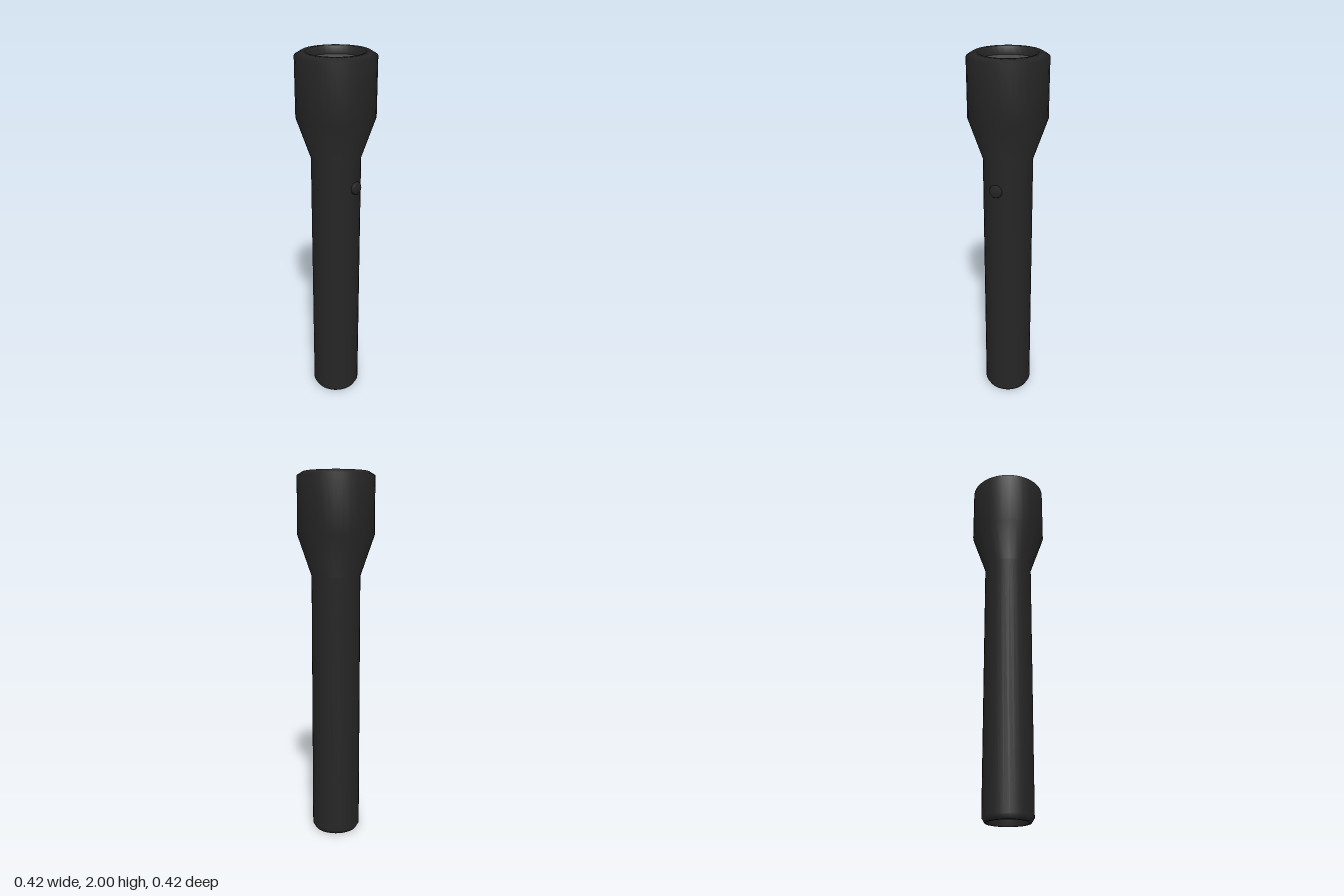
import * as THREE from 'three';

const SIDES = 32;
const black = new THREE.MeshStandardMaterial({ color: 0x262626, side: THREE.DoubleSide });
const grey = new THREE.MeshStandardMaterial({ color: 0x4a4a4a });

// Smooth turned part from [radius, height] pairs
function turned(name, profile, sides = SIDES) {
  const points = profile.map(([r, y]) => new THREE.Vector2(r, y));
  const mesh = new THREE.Mesh(new THREE.LatheGeometry(points, sides), black);
  mesh.name = name;
  return mesh;
}

// Flat round plate facing up (1) or down (-1)
function plate(name, radius, y, facing, material) {
  const mesh = new THREE.Mesh(new THREE.CircleGeometry(radius, SIDES), material);
  mesh.rotation.x = -facing * Math.PI / 2;
  mesh.position.y = y;
  mesh.name = name;
  return mesh;
}

export function createModel() {
  const group = new THREE.Group();
  group.name = 'flashlight';

  // Barrel, flared head and the recessed rims at both ends
  group.add(turned('casing', [
    [0.105, 0.07], [0.105, 0], [0.118, 0], [0.133, 0.025],
    [0.133, 1.45], [0.209, 1.67], [0.209, 1.98], [0.176, 2],
    [0.152, 2], [0.152, 1.955],
  ]));

  // Lens sunk in the head, and tail cap floor
  group.add(plate('lens', 0.152, 1.956, 1, grey));
  group.add(plate('tailCap', 0.105, 0.07, -1, black));

  // Round side switch with a softened edge
  const button = turned('switchButton', [
    [0.035, 0], [0.035, 0.04], [0.029, 0.047], [0, 0.048],
  ], 16);
  button.rotation.z = -Math.PI / 2;
  button.position.set(0.1, 1.305, 0);
  group.add(button);

  return group;
}
